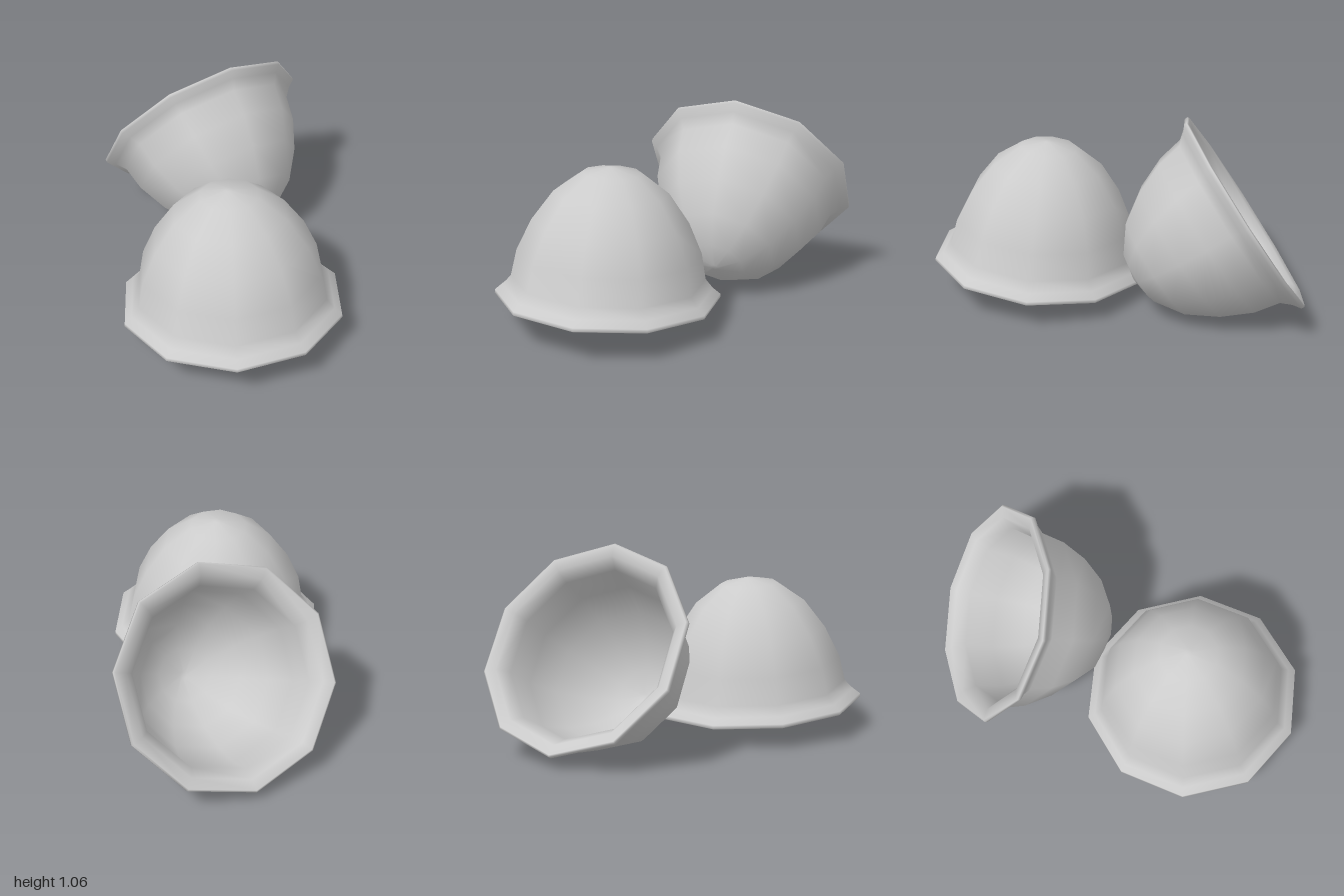
import * as THREE from 'three';

// Shell profile [radius, height]: down the inside, around the lip, up the outside
const PROFILE = [
  [0, 0.667], [0.02, 0.667], [0.147, 0.637], [0.283, 0.535], [0.388, 0.39], [0.456, 0.228],
  [0.474, 0.065], [0.525, 0.002], [0.583, -0.012],
  [0.593, -0.006], [0.592, 0.012], [0.552, 0.042],
  [0.51, 0.092], [0.483, 0.232], [0.409, 0.397], [0.299, 0.552], [0.156, 0.657],
  [0.02, 0.687], [0, 0.687],
];

export function createModel() {
  const group = new THREE.Group();
  const material = new THREE.MeshStandardMaterial({ color: 0xcccccc });
  // Ten-sided bell-shaped shell with a corner on the x axis
  const shell = new THREE.LatheGeometry(
    PROFILE.map(([r, h]) => new THREE.Vector2(r, h)), 10, Math.PI / 2);

  // Half shell lying open side down, slightly tilted
  const lower = new THREE.Mesh(shell, material);
  lower.name = 'lowerHalfShell';
  lower.position.set(-0.1, 0.148, 0.435);
  lower.rotation.x = -0.076;
  group.add(lower);

  // Half shell resting on its side, opening up and back
  const upturned = new THREE.Mesh(shell, material);
  upturned.name = 'upturnedHalfShell';
  const axis = new THREE.Vector3(0.159, -0.54, 0.827).normalize();
  const corner = new THREE.Vector3(0.969, 0.243, -0.027).normalize();
  const side = corner.clone().cross(axis).normalize();
  corner.crossVectors(axis, side);
  upturned.quaternion.setFromRotationMatrix(new THREE.Matrix4().makeBasis(corner, axis, side));
  upturned.position.set(0.116, 0.557, -0.674);
  group.add(upturned);

  return group;
}
